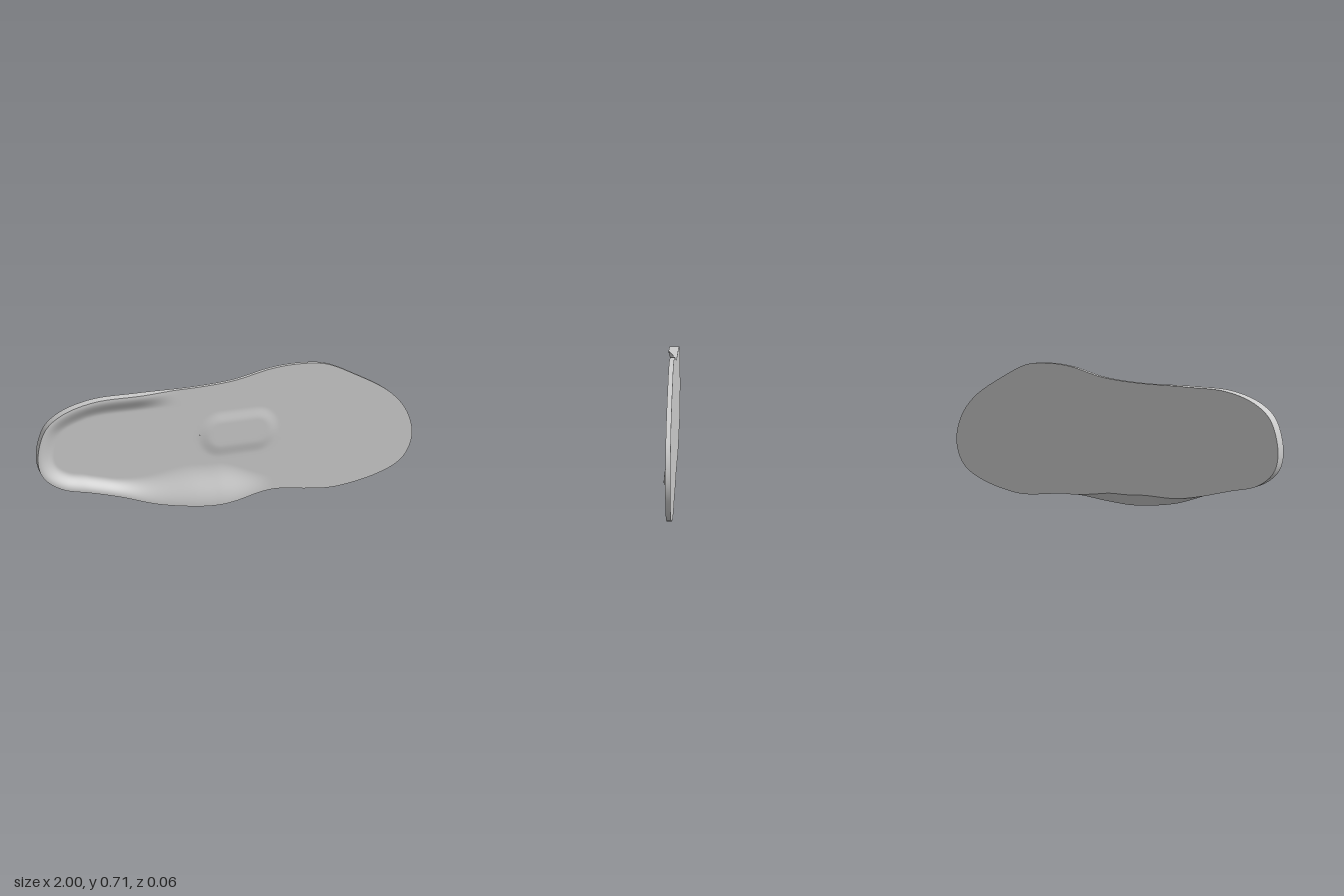
import * as THREE from 'three';

const FLOOR = -0.01, BACK = -0.032;
const COLS = 300;

// Sole outline, clockwise from the heel end
const OUTLINE = [
  [-1, .36], [-.99, .45], [-.95, .54], [-.87, .6], [-.72, .643], [-.5, .648], [-.2, .647], [0, .66],
  [.2, .7], [.35, .708], [.49, .692], [.65, .62], [.86, .495], [.96, .38], [1, .25], [.975, .15],
  [.92, .09], [.8, .04], [.65, .01], [.53, .001], [.4, .015], [.25, .038], [.15, .037], [0, .02],
  [-.12, .016], [-.25, .03], [-.42, .065], [-.6, .13], [-.75, .175], [-.88, .21], [-.95, .255], [-.985, .3],
];

const { clamp, lerp, smoothstep } = THREE.MathUtils;

// Line down the middle of the sole that the rings shrink towards
function spine(p) {
  const x = clamp(p.x, -0.75, 0.7);
  return new THREE.Vector2(x, 0.385 - 0.045 * x);
}

// 0 on the outer side of the foot, 1 on the arch side
const archSide = (p) => 1 - smoothstep(p.y, 0.25, 0.45);
const archAmount = (x) => smoothstep(x, -0.65, -0.2) * (1 - smoothstep(x, -0.1, 0.22));

// Height of the raised rim at an outline point
function rimHeight(p) {
  const outer = 0.03 * (1 - smoothstep(p.x, -0.5, -0.27));
  const inner = lerp(0.029, 0.043, smoothstep(p.x, -0.5, -0.12)) * (1 - smoothstep(p.x, -0.09, 0.22));
  return lerp(outer, inner, archSide(p));
}

// Footbed height: rim and arch falling inwards, plus the forefoot pad
function topHeight(edge, p) {
  const width = 0.085 + 0.13 * archAmount(edge.x) * archSide(edge);
  const rim = rimHeight(edge) * (1 - smoothstep(edge.distanceTo(p), 0.008, width));
  const dx = p.x - clamp(p.x, -0.07, 0.12);
  const r = Math.hypot(dx, p.y - 0.385) / 0.125;
  const pad = 0.009 * (1 - smoothstep(r, 0.45, 1));
  return FLOOR + Math.max(rim, pad);
}

// Smooth closed surface from equal-length rings of points
function loft(name, rings, material) {
  const n = rings[0].length, index = [];
  for (let i = 0; i < rings.length - 1; i++) {
    for (let j = 0; j < n; j++) {
      const k = (j + 1) % n;
      const a = i * n + j, b = i * n + k, c = b + n, d = a + n;
      index.push(a, b, d, b, c, d);
    }
  }
  const geometry = new THREE.BufferGeometry().setFromPoints(rings.flat());
  geometry.setIndex(index);
  geometry.computeVertexNormals();
  const mesh = new THREE.Mesh(geometry, material);
  mesh.name = name;
  return mesh;
}

export function createModel() {
  const group = new THREE.Group();
  group.name = 'insole';
  const material = new THREE.MeshStandardMaterial({ color: 0xcccccc, side: THREE.DoubleSide });

  const curve = new THREE.CatmullRomCurve3(
    OUTLINE.map(([x, y]) => new THREE.Vector3(x, y, 0)), true, 'centripetal');
  const edge = curve.getSpacedPoints(COLS).slice(0, COLS).map((p) => new THREE.Vector2(p.x, p.y));

  // The underside is tucked in below the arch
  const baseEdge = edge.map((p) =>
    new THREE.Vector2(p.x, p.y + 0.065 * archAmount(p.x) * archSide(p)));

  // Contoured footbed
  const topRings = [];
  for (let i = 0; i <= 48; i++) {
    const t = 1 - Math.pow(1 - i / 48, 1.4);
    topRings.push(edge.map((e) => {
      const p = spine(e).lerp(e, t);
      return new THREE.Vector3(p.x, p.y, topHeight(e, p));
    }));
  }
  group.add(loft('footbed', topRings, material));

  // Side wall, flaring outwards up the arch
  const wallRings = [];
  for (let i = 0; i <= 6; i++) {
    const t = i / 6;
    wallRings.push(edge.map((e, j) => {
      const p = e.clone().lerp(baseEdge[j], t);
      return new THREE.Vector3(p.x, p.y, lerp(topHeight(e, e), BACK, t));
    }));
  }
  group.add(loft('sideWall', wallRings, material));

  // Flat underside
  const baseRings = [1, 0.5, 0].map((t) => baseEdge.map((e) => {
    const p = spine(e).lerp(e, t);
    return new THREE.Vector3(p.x, p.y, BACK);
  }));
  group.add(loft('underside', baseRings, material));

  return group;
}
